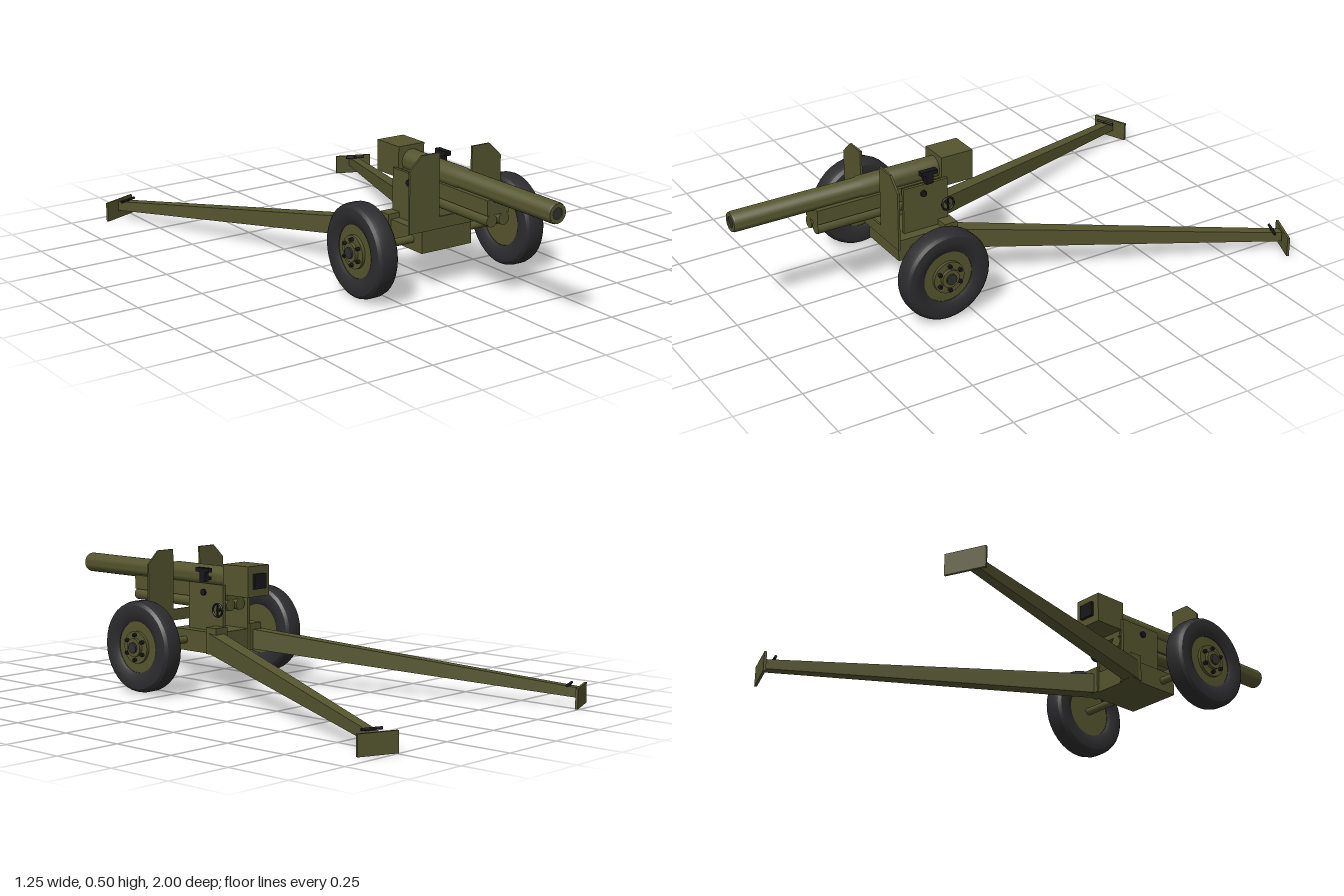
import * as THREE from 'three';
import { toCreasedNormals } from 'three/addons/utils/BufferGeometryUtils.js';

const material = (name, color) => {
  const m = new THREE.MeshStandardMaterial({ color });
  m.name = name;
  return m;
};

export function createModel() {
  const olive = material('olive paint', 0x55552f);
  const rubber = material('tyre rubber', 0x2c2c2e);
  const black = material('black metal', 0x17171a);
  const steel = material('dark steel', 0x303032);
  const model = new THREE.Group();
  model.name = 'fieldGun';

  const add = (name, geometry, mat, x = 0, y = 0, z = 0, parent = model) => {
    const mesh = new THREE.Mesh(geometry, mat);
    mesh.name = name;
    mesh.position.set(x, y, z);
    parent.add(mesh);
    return mesh;
  };
  const box = (w, h, d) => new THREE.BoxGeometry(w, h, d);
  // cylinders lying along z (first radius towards +z) and along x
  const rodZ = (r1, r2, l, n = 24) => new THREE.CylinderGeometry(r1, r2, l, n).rotateX(Math.PI / 2);
  const rodX = (r, l, n = 20) => new THREE.CylinderGeometry(r, r, l, n).rotateZ(Math.PI / 2);

  // Barrel: hollow muzzle, stepping up to a sleeve
  const barrelProfile = [
    [0.001, 0.95], [0.02, 0.95], [0.02, 1], [0.034, 1], [0.037, 0.992],
    [0.037, 0.515], [0.041, 0.505], [0.041, 0.15], [0.001, 0.15],
  ].map(([r, z]) => new THREE.Vector2(r, z)).reverse();
  const barrel = new THREE.LatheGeometry(barrelProfile, 28).rotateX(Math.PI / 2);
  add('barrel', toCreasedNormals(barrel, 0.6), olive, 0, 0.408, 0);
  add('bore', rodZ(0.0198, 0.0198, 0.04), steel, 0, 0.408, 0.976);

  // Breech
  add('breechBlock', box(0.112, 0.114, 0.128), olive, 0, 0.408, 0.141);
  add('breechDoor', box(0.06, 0.056, 0.012), black, 0, 0.408, 0.072);

  // Cradle and recoil cylinders
  add('cradle', box(0.09, 0.054, 0.5), olive, 0, 0.357, 0.445);
  for (const s of [-1, 1]) {
    add('recoilCylinder', rodZ(0.022, 0.022, 0.5), olive, s * 0.026, 0.31, 0.445);
    add('trunnion', rodX(0.012, 0.034), black, s * 0.062, 0.355, 0.29);
  }

  // Upper and lower carriage
  add('lowerCarriage', box(0.216, 0.08, 0.225), olive, 0, 0.174, 0.302);
  for (const s of [-1, 1]) {
    add('cheek', box(0.012, 0.18, 0.18), olive, s * 0.065, 0.299, 0.28);
    add('trailHinge', box(0.06, 0.1, 0.052), olive, s * 0.09, 0.184, 0.206);
  }
  add('axle', rodX(0.014, 0.66), olive, 0, 0.174, 0.355);

  // Shield: a plate with clipped corners and a slot for the gun
  const shield = new THREE.Shape([
    [-0.197, 0.232], [0.197, 0.232], [0.197, 0.455], [0.146, 0.504], [0.07, 0.504],
    [0.07, 0.275], [-0.07, 0.275], [-0.07, 0.504], [-0.146, 0.504], [-0.197, 0.455],
  ].map(([x, y]) => new THREE.Vector2(x, y)));
  add('shield', new THREE.ExtrudeGeometry(shield, { depth: 0.008, bevelEnabled: false }), olive, 0, 0, 0.455);

  // Sight and elevating handwheel on the left side
  add('sightBracket', box(0.03, 0.012, 0.025), black, 0.075, 0.408, 0.275);
  add('sightStem', box(0.018, 0.045, 0.03), black, 0.085, 0.42, 0.275);
  add('sightHead', box(0.022, 0.016, 0.066), black, 0.085, 0.441, 0.277);
  add('handwheel', new THREE.TorusGeometry(0.024, 0.004, 8, 24).rotateY(Math.PI / 2), black, 0.09, 0.297, 0.2);
  add('handwheelSpoke', box(0.005, 0.046, 0.005), black, 0.09, 0.297, 0.2);
  add('handwheelShaft', rodX(0.005, 0.03, 10), black, 0.079, 0.297, 0.2);

  // Wheels
  const tyreProfile = [
    [0.095, -0.03], [0.108, -0.038], [0.135, -0.0435], [0.155, -0.04], [0.165, -0.031], [0.169, -0.017],
    [0.169, 0.017], [0.165, 0.031], [0.155, 0.04], [0.135, 0.0435], [0.108, 0.038], [0.095, 0.03], [0.095, -0.03],
  ].map(([r, x]) => new THREE.Vector2(r, x));
  const tyre = toCreasedNormals(new THREE.LatheGeometry(tyreProfile, 36).rotateZ(-Math.PI / 2), 0.45);
  for (const s of [-1, 1]) {
    const wheel = new THREE.Group();
    wheel.name = s > 0 ? 'leftWheel' : 'rightWheel';
    wheel.position.set(s * 0.32, 0.173, 0.355);
    model.add(wheel);
    add('tyre', tyre, rubber, 0, 0, 0, wheel);
    add('wheelDisc', rodX(0.0965, 0.056, 36), olive, 0, 0, 0, wheel);
    add('hubRing', rodX(0.06, 0.014, 28), olive, s * 0.032, 0, 0, wheel);
    add('hub', rodX(0.034, 0.03, 24), olive, s * 0.036, 0, 0, wheel);
    add('hubCap', rodX(0.02, 0.03, 20), steel, s * 0.043, 0, 0, wheel);
    for (let i = 0; i < 6; i++) {
      const a = (i + 0.5) * Math.PI / 3;
      add('wheelNut', rodX(0.007, 0.014, 8), black, s * 0.044, 0.046 * Math.sin(a), 0.046 * Math.cos(a), wheel);
    }
  }

  // Split trails: tapering beams, each with a spade and a lifting handle
  const angle = 0.385;
  const lerp = THREE.MathUtils.lerp;
  for (const s of [-1, 1]) {
    const beam = box(1, 1, 1);
    const p = beam.attributes.position;
    for (let i = 0; i < p.count; i++) {
      const t = 0.5 - p.getZ(i);
      const across = p.getX(i) * lerp(0.054, 0.034, t);
      p.setXYZ(i,
        s * lerp(0.09, 0.552, t) + across * Math.cos(angle),
        lerp(0.176, 0.051, t) + p.getY(i) * lerp(0.076, 0.036, t),
        lerp(0.22, -0.96, t) + s * across * Math.sin(angle));
    }
    beam.computeVertexNormals();
    add('trail', beam, olive);
    const spade = add('spade', box(0.146, 0.074, 0.009), olive, s * 0.557, 0.038, -0.967);
    const handle = add('trailHandle', rodX(0.005, 0.076, 10), black, s * 0.54, 0.077, -0.928);
    const post = add('handlePost', box(0.012, 0.02, 0.012), black, s * 0.54, 0.069, -0.928);
    for (const part of [spade, handle, post]) part.rotation.y = -s * angle;
  }
  return model;
}
